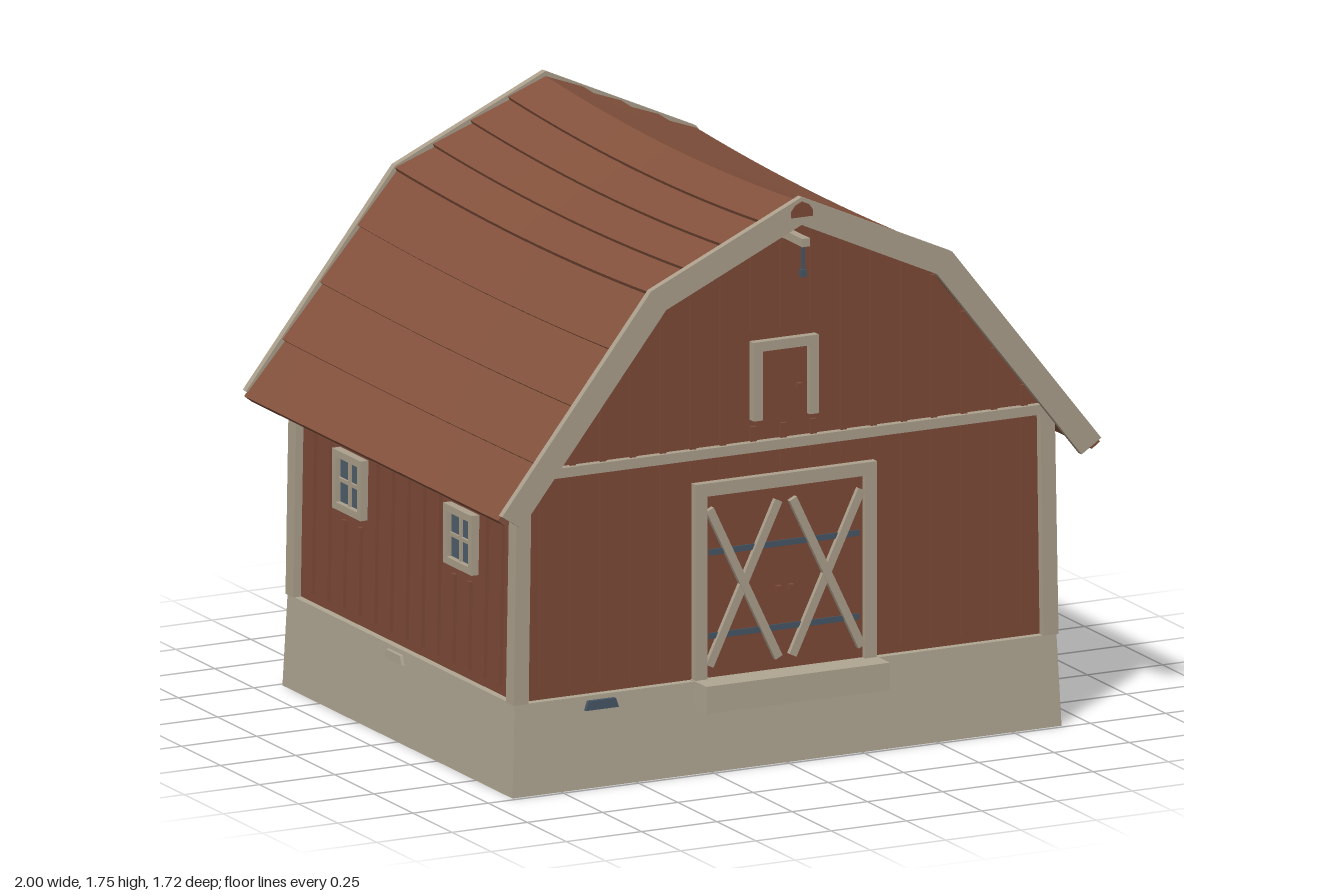
import * as THREE from 'three';

const mat = (name, color) => {
  const m = new THREE.MeshStandardMaterial({ color });
  m.name = name;
  return m;
};

// Wall outline under the roof: half profile from ridge to eave
const GABLE = [[0, 1.69], [0.46, 1.475], [0.868, 0.97]];
function gableTop(x) {
  const a = Math.abs(x);
  const [p, q] = a < GABLE[1][0] ? [GABLE[0], GABLE[1]] : [GABLE[1], GABLE[2]];
  return p[1] + (q[1] - p[1]) * (a - p[0]) / (q[0] - p[0]);
}

export function createModel() {
  const barn = new THREE.Group();
  barn.name = 'barn';
  const wall = mat('barn red', 0x7d4a37);
  const roof = mat('roof brown', 0x84523d);
  const trim = mat('trim beige', 0xaca08c);
  const stone = mat('stone beige', 0xb0a692);
  stone.side = THREE.DoubleSide;
  const glass = mat('window glass', 0x50606c);
  const metal = mat('blue iron', 0x465664);

  const add = (parent, name, geo, material) => {
    const m = new THREE.Mesh(geo, material);
    m.name = name;
    parent.add(m);
    return m;
  };
  // Box given by its limits
  const box = (parent, name, material, x0, x1, y0, y1, z0, z1) => {
    const m = add(parent, name, new THREE.BoxGeometry(x1 - x0, y1 - y0, z1 - z0), material);
    m.position.set((x0 + x1) / 2, (y0 + y1) / 2, (z0 + z1) / 2);
    return m;
  };
  // Outline in xy extruded from z0 to z1
  const slab = (parent, name, material, pts, z0, z1) => {
    const shape = new THREE.Shape(pts.map(p => new THREE.Vector2(...p)));
    const geo = new THREE.ExtrudeGeometry(shape, { depth: z1 - z0, bevelEnabled: false });
    return add(parent, name, geo.translate(0, 0, z0), material);
  };
  const mirrored = pts => [...pts, ...pts.slice().reverse().filter(p => p[0] !== 0).map(([x, y]) => [-x, y])];

  // Foundation: open tapered skirt with a floor across its top
  const skirt = new THREE.CylinderGeometry(0.9 * Math.SQRT2, 0.912 * Math.SQRT2, 0.28, 4, 1, true)
    .rotateY(Math.PI / 4).scale(1, 1, 0.807).translate(0, 0.14, 0).toNonIndexed();
  skirt.computeVertexNormals();
  add(barn, 'foundation', skirt, stone);
  add(barn, 'floor', new THREE.PlaneGeometry(1.8, 1.452).rotateX(-Math.PI / 2).translate(0, 0.28, 0), stone);
  box(barn, 'frontStep', stone, -0.305, 0.305, 0.2, 0.283, 0.7, 0.807);

  // Body
  slab(barn, 'walls', wall, mirrored([...GABLE, [0.88, 0.281]]), -0.705, 0.705);
  for (const s of [1, -1]) for (const z of [0.68, -0.73]) {
    const pts = [[0.855, 0.28], [0.905, 0.28], [0.893, 0.95], [0.845, 0.98]].map(([x, y]) => [s * x, y]);
    slab(barn, 'cornerBoard', trim, pts, z, z + 0.05);
  }

  // Roof: lapped boards that sag toward the middle of the ridge
  const profile = [[0, 1.74], [0.5, 1.512], [1, 0.875]];
  const HALF = 0.812;
  function roofBoard(a, b, n, side) {
    const geo = new THREE.BoxGeometry(1, 1, 2 * HALF, 1, 1, 14);
    const p = geo.attributes.position;
    for (let i = 0; i < p.count; i++) {
      const low = side * p.getX(i) > 0;
      const top = p.getY(i) > 0;
      const z = p.getZ(i);
      const c = low ? b : a;
      const off = top ? (low ? 0 : -0.011) : -0.034;
      let x = Math.max(0, c[0] + n[0] * off);
      if (!low && a[0] === 0) x = 0;
      const y = c[1] + n[1] * off;
      const sag = 0.03 * Math.max(0, (y - 0.87) / 0.87) * (1 - (z / HALF) ** 2);
      p.setXYZ(i, side * x, y - sag, z);
    }
    geo.computeVertexNormals();
    add(barn, 'roofBoard', geo, roof);
  }
  for (const side of [1, -1]) for (let k = 0; k < 2; k++) {
    const [p, q] = [profile[k], profile[k + 1]];
    const d = [q[0] - p[0], q[1] - p[1]];
    const len = Math.hypot(...d);
    const n = [-d[1] / len, d[0] / len];
    const at = t => [p[0] + d[0] * t, p[1] + d[1] * t];
    for (let i = 0; i < 4; i++) roofBoard(at(i / 4), at((i + 1) / 4), n, side);
  }

  // Gable trim with ridge end caps
  const fascia = [[0, 1.745], [0.5, 1.518], [0.995, 0.89], [0.93, 0.847], [0.45, 1.455], [0, 1.66]];
  const capPts = mirrored([[0, 1.732], [0.022, 1.722], [0.035, 1.705], [0.035, 1.685]]);
  for (const s of [1, -1]) {
    const z = s > 0 ? 0.808 : -0.83;
    const ring = [...fascia, ...fascia.slice(1, -1).reverse().map(([x, y]) => [-x, y])];
    slab(barn, 'gableTrim', trim, ring, z, z + 0.022);
    slab(barn, 'ridgeCap', wall, capPts, s > 0 ? 0.825 : -0.834, s > 0 ? 0.834 : -0.825);
  }

  // A face group is built facing +z, then turned into place
  const face = (name, turn) => {
    const g = new THREE.Group();
    g.name = name;
    g.rotation.y = turn;
    barn.add(g);
    return g;
  };
  // Vertical battens, interrupted by openings [x0, x1, y0, y1]
  function battens(g, count, top, z, openings, tilt = 0) {
    for (let i = -count; i <= count; i++) {
      const x = i * 0.1;
      let y = 0.31;
      const cuts = openings.filter(o => x > o[0] && x < o[1]).sort((a, b) => a[2] - b[2]);
      for (const [, , y0, y1] of [...cuts, [0, 0, top(x), 9]]) {
        if (y0 - y > 0.02) {
          const m = box(g, 'batten', wall, x - 0.01, x + 0.01, y, y0, z - 0.01, z + 0.011);
          m.rotation.x = -tilt;
          m.position.z -= tilt * ((y + y0) / 2 - 0.28);
        }
        y = y1;
      }
    }
  }
  // Three-sided door frame
  function doorFrame(g, w, y0, y1, t) {
    for (const s of [-1, 1]) box(g, 'doorPost', trim, s * (w - t / 2) - t / 2, s * (w - t / 2) + t / 2, y0, y1, 0.7, 0.731);
    box(g, 'doorLintel', trim, -w + t, w - t, y1 - t, y1, 0.7, 0.731);
    box(g, 'doorPanel', wall, -w + t, w - t, y0, y1 - t, 0.7, 0.714);
  }
  const knob = (g, x, y) => box(g, 'doorKnob', wall, x - 0.008, x + 0.008, y - 0.008, y + 0.008, 0.71, 0.73);

  // Gable ends
  const front = face('frontEnd', 0);
  const back = face('backEnd', Math.PI);
  for (const [g, w, h] of [[front, 0.302, 0.88], [back, 0.155, 0.82]]) {
    battens(g, 8, x => gableTop(x) - 0.005, 0.705,
      [[-w - 0.03, w + 0.03, 0.2, h + 0.03], [-2, 2, 0.955, 0.985], [-0.14, 0.14, 1.03, 1.32]]);
    box(g, 'crossBand', trim, -0.85, 0.85, 0.955, 0.985, 0.7, 0.729);
    doorFrame(g, w, 0.28, h, 0.04);
    doorFrame(g, 0.108, 1.05, 1.29, 0.03);
    knob(g, 0.048, 1.14);
    // Hoist beam and hook
    box(g, 'hoistBeam', trim, -0.013, 0.013, 1.6, 1.625, 0.7, 0.858);
    box(g, 'hoistRope', metal, -0.004, 0.004, 1.52, 1.6, 0.834, 0.842);
    box(g, 'hoistHook', metal, -0.008, 0.008, 1.505, 1.527, 0.829, 0.847);
  }
  // Double door with crossed braces
  for (const y of [0.665, 0.41]) {
    box(front, 'doorStrap', metal, -0.25, 0.25, y - 0.009, y + 0.009, 0.71, 0.719);
    box(back, 'doorStrap', metal, -0.115, 0.08, y - 0.009, y + 0.009, 0.71, 0.722);
  }
  for (const s of [-1, 1]) {
    knob(front, s * 0.021, 0.53);
    for (const t of [-1, 1]) {
      const m = box(front, 'doorBrace', trim, -0.013, 0.013, -0.265, 0.265, -0.008, 0.008);
      m.position.set(s * 0.138, 0.56, 0.722 + t * 0.001);
      m.rotation.z = t * Math.atan2(0.23, 0.48);
    }
  }
  knob(back, 0.085, 0.53);

  // Long sides with two windows each
  const right = face('leftSide', Math.PI / 2);
  const left = face('rightSide', -Math.PI / 2);
  for (const g of [right, left]) {
    const cut = c => [c - 0.11, c + 0.11, 0.58, 0.82];
    battens(g, 6, () => 0.95, 0.88, [cut(-0.355), cut(0.355)], 0.017);
    for (const c of [-0.355, 0.355]) {
      const win = new THREE.Group();
      win.name = 'window';
      win.position.set(c, 0.7, 0.872);
      g.add(win);
      box(win, 'glass', glass, -0.07, 0.07, -0.07, 0.07, 0, 0.009);
      for (const s of [-1, 1]) {
        box(win, 'frameSide', trim, s * 0.08 - 0.011, s * 0.08 + 0.011, -0.091, 0.091, -0.01, 0.026);
        box(win, 'frameRail', trim, -0.069, 0.069, s * 0.08 - 0.011, s * 0.08 + 0.011, -0.01, 0.026);
      }
      box(win, 'muntin', trim, -0.006, 0.006, -0.07, 0.07, 0, 0.017);
      box(win, 'muntin', trim, -0.07, 0.07, -0.006, 0.006, 0, 0.016);
    }
  }

  // Small blocks set in the foundation
  for (const [g, x, y, z, m] of [[front, -0.615, 0.252, 0.728, metal], [back, -0.46, 0.255, 0.728, stone],
    [back, 0.065, 0.25, 0.728, stone], [right, -0.44, 0.256, 0.9, stone], [right, -0.04, 0.247, 0.9, stone],
    [left, -0.03, 0.252, 0.9, stone]]) {
    const pts = [[-0.055, -0.014], [0.055, -0.014], [0.045, 0.014], [-0.045, 0.014]];
    slab(g, 'foundationBlock', m, pts.map(([a, b]) => [x + a, y + b]), z - 0.02, z + 0.012);
  }
  return barn;
}
